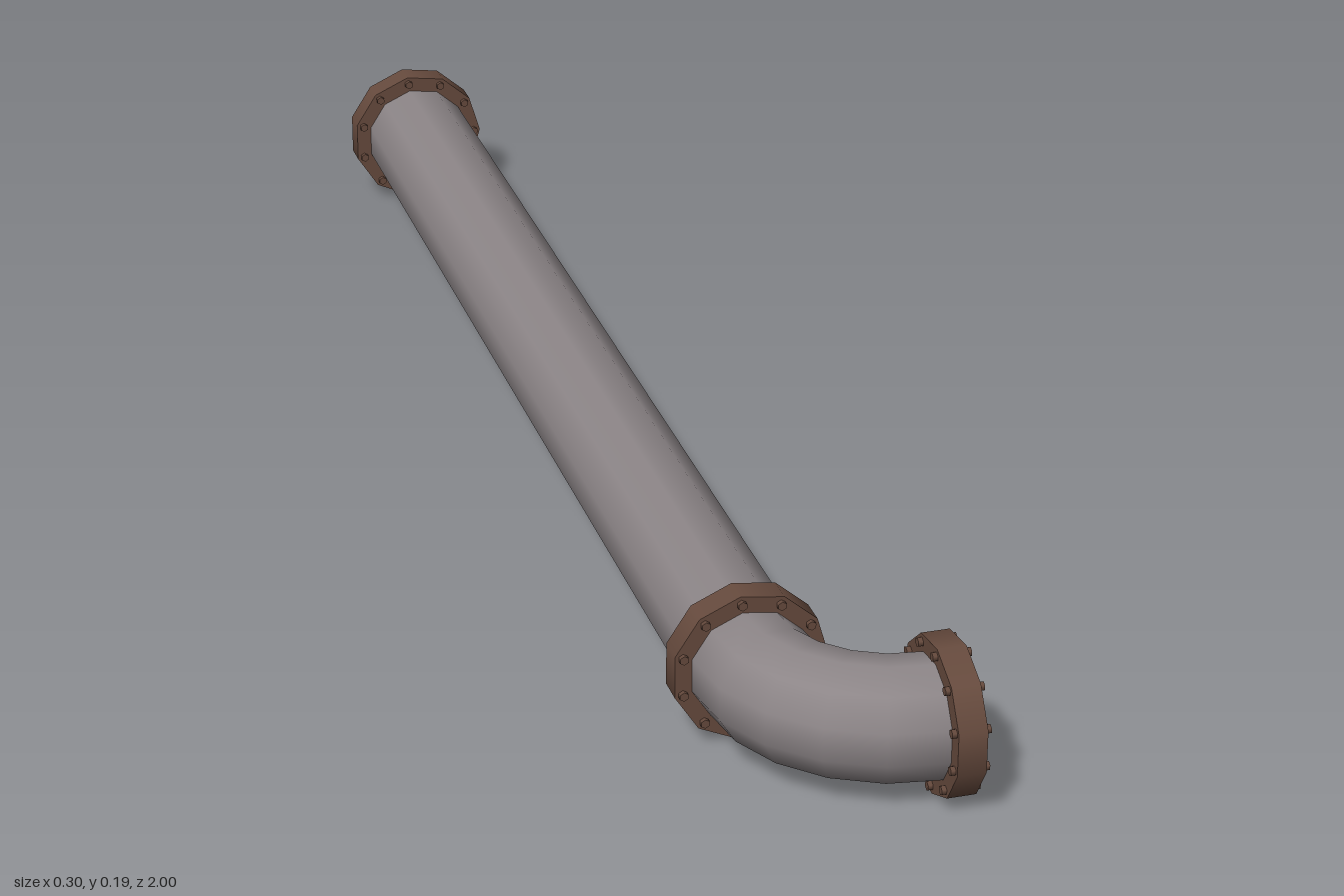
import * as THREE from 'three';

const SIDES = 11;
const PIPE_R = 0.0765, FLANGE_R = 0.0985, FLANGE_T = 0.036;
const BOLT_R = 0.006, BOLT_CIRCLE = 0.088, BOLT_LEN = 0.048;
const BEND_R = 0.167;
const AXIS_X = -0.057, AXIS_Y = 0.099; // centre line of the long pipe
const ELBOW_Z = 0.738, BACK_Z = -0.994;

const pipeGrey = new THREE.MeshStandardMaterial({ color: 0x8c8587 });
pipeGrey.name = 'pipe grey';
pipeGrey.side = THREE.DoubleSide;
const rustBrown = new THREE.MeshStandardMaterial({ color: 0x674b3e });
rustBrown.name = 'rust brown';

function mesh(name, geometry, material) {
  const m = new THREE.Mesh(geometry, material);
  m.name = name;
  return m;
}

// Cylinder along z with a corner of its outline on +x
function tube(radius, length, rings = 1, open = true) {
  return new THREE.CylinderGeometry(radius, radius, length, SIDES, rings, open, Math.PI / 2)
    .rotateX(Math.PI / 2);
}

// Bends a tube a quarter turn from +z towards +x; origin at the start of the bend
function elbowGeometry() {
  const g = tube(PIPE_R, 1, 5);
  const p = g.attributes.position, n = g.attributes.normal;
  for (let i = 0; i < p.count; i++) {
    const a = (p.getZ(i) + 0.5) * Math.PI / 2;
    const c = Math.cos(a), s = Math.sin(a);
    const d = BEND_R - p.getX(i), nx = n.getX(i);
    p.setXYZ(i, BEND_R - d * c, p.getY(i), d * s);
    n.setXYZ(i, nx * c, n.getY(i), -nx * s);
  }
  return g;
}

// Bolted flange centred on its own z axis; an open one has a recessed plate
function flange(name, isOpen) {
  const g = new THREE.Group();
  g.name = name;
  g.add(mesh('flangeBody', tube(FLANGE_R, FLANGE_T, 1, isOpen), rustBrown));
  if (isOpen) {
    const half = FLANGE_T / 2, depth = 0.032;
    const face = mesh('flangeFace', new THREE.RingGeometry(PIPE_R, FLANGE_R, SIDES), rustBrown);
    face.position.z = half;
    const back = mesh('flangeBack', new THREE.CircleGeometry(FLANGE_R, SIDES, Math.PI).rotateY(Math.PI), rustBrown);
    back.position.z = -half;
    const bore = mesh('bore', tube(PIPE_R, depth), pipeGrey);
    bore.position.z = half - depth / 2;
    const plate = mesh('recessedPlate', new THREE.CircleGeometry(PIPE_R, SIDES), rustBrown);
    plate.position.z = half - depth;
    g.add(face, back, bore, plate);
  }
  const boltGeo = new THREE.CylinderGeometry(BOLT_R, BOLT_R, BOLT_LEN, 6).rotateX(Math.PI / 2);
  for (let i = 0; i < SIDES; i++) {
    const a = i / SIDES * Math.PI * 2;
    const bolt = mesh('bolt', boltGeo, rustBrown);
    bolt.position.set(Math.cos(a) * BOLT_CIRCLE, Math.sin(a) * BOLT_CIRCLE, 0);
    g.add(bolt);
  }
  return g;
}

export function createModel() {
  const model = new THREE.Group();
  model.name = 'bentPipe';

  // Long straight pipe
  const length = ELBOW_Z - BACK_Z - FLANGE_T;
  const straight = mesh('straightPipe', tube(PIPE_R, length), pipeGrey);
  straight.position.set(AXIS_X, AXIS_Y, (ELBOW_Z + BACK_Z) / 2);

  // Quarter bend
  const elbow = mesh('elbow', elbowGeometry(), pipeGrey);
  elbow.position.set(AXIS_X, AXIS_Y, ELBOW_Z);

  // Flanges at the back end, the joint and the outlet
  const backFlange = flange('backFlange', false);
  backFlange.position.set(AXIS_X, AXIS_Y, BACK_Z + FLANGE_T / 2);
  const jointFlange = flange('jointFlange', false);
  jointFlange.position.set(AXIS_X, AXIS_Y, ELBOW_Z - FLANGE_T / 2);
  const outletFlange = flange('outletFlange', true);
  outletFlange.position.set(AXIS_X + BEND_R + FLANGE_T / 2, AXIS_Y, ELBOW_Z + BEND_R);
  outletFlange.rotation.y = Math.PI / 2;

  model.add(straight, elbow, backFlange, jointFlange, outletFlange);
  return model;
}
